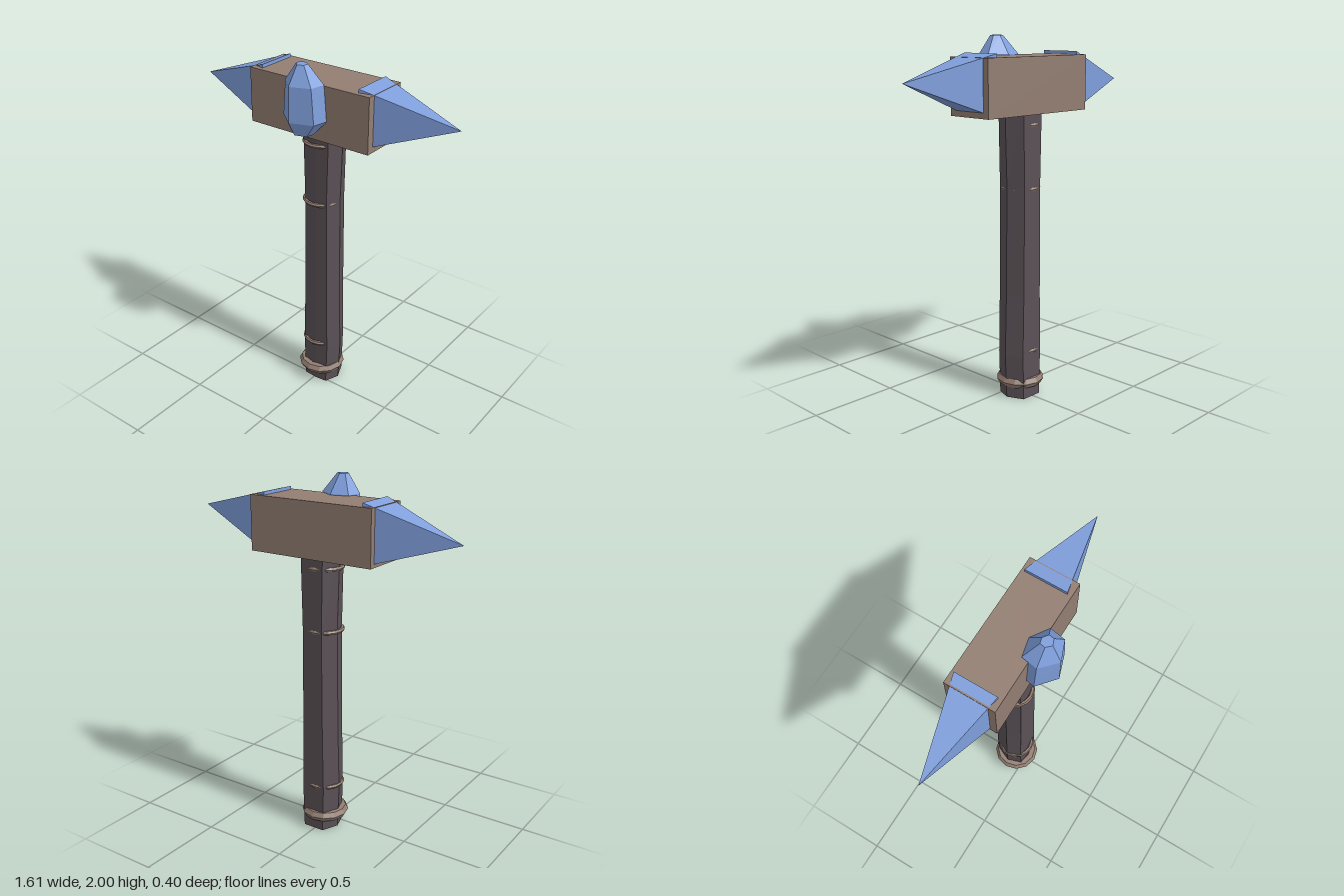
import * as THREE from 'three';

const material = (color) => new THREE.MeshStandardMaterial({ color, flatShading: true });
const wood = material(0x5a5156);
const brown = material(0x937e72);
const blue = material(0x7f9fdc);

// Solid through stacked rings of [x, y, z], listed bottom to top, each counter-clockwise seen from above
function loft(rings) {
  const n = rings[0].length;
  const pos = [];
  const tri = (a, b, c) => pos.push(...a, ...b, ...c);
  for (let r = 0; r < rings.length - 1; r++) {
    const lo = rings[r], hi = rings[r + 1];
    for (let i = 0; i < n; i++) {
      const j = (i + 1) % n;
      tri(lo[i], lo[j], hi[j]);
      tri(lo[i], hi[j], hi[i]);
    }
  }
  const first = rings[0], last = rings[rings.length - 1];
  for (let i = 1; i < n - 1; i++) {
    tri(first[0], first[i + 1], first[i]);
    tri(last[0], last[i], last[i + 1]);
  }
  const g = new THREE.BufferGeometry();
  g.setAttribute('position', new THREE.Float32BufferAttribute(pos, 3));
  g.computeVertexNormals();
  return g;
}

export function createModel() {
  const group = new THREE.Group();
  const add = (name, geometry, mat, x = 0, y = 0, z = 0) => {
    const mesh = new THREE.Mesh(geometry, mat);
    mesh.name = name;
    mesh.position.set(x, y, z);
    group.add(mesh);
    return mesh;
  };

  // Faceted handle: narrower in the middle, flat at the back
  const section = [[0.08, 0.013], [0.115, -0.07], [0.07, -0.163], [-0.07, -0.163],
    [-0.115, -0.07], [-0.085, 0.013], [0, 0.019]];
  const levels = [[0, 0.9], [0.25, 1], [0.6, 0.92], [1.2, 0.87], [1.65, 1]];
  add('handle', loft(levels.map(([y, s]) =>
    section.map(([x, z]) => [x * s + 0.01, y, z]))), wood);

  // Thin bands and the thick collar around the handle
  const ring = (name, y, radius, tube, sides, steps) => {
    const g = new THREE.TorusGeometry(radius, tube, sides, steps).rotateX(Math.PI / 2);
    add(name, g, brown, -0.003, y, -0.062);
  };
  for (const y of [0.27, 1.19, 1.535]) ring('handleBand', y, 0.097, 0.012, 6, 16);
  ring('collar', 0.088, 0.104, 0.03, 6, 12);

  // Head block
  add('head', new THREE.BoxGeometry(0.75, 0.3, 0.276), brown, 0, 1.745, -0.064);

  // Four-sided spikes, each with its tip slightly off centre
  const spike = (name, baseX, tipX, tipY) => {
    const g = new THREE.ConeGeometry(Math.SQRT1_2, 1, 4, 1).rotateY(Math.PI / 4);
    g.translate(0, 0.5, 0).rotateZ(-Math.sign(tipX) * Math.PI / 2);
    g.scale(Math.abs(tipX - baseX), 0.318, 0.235);
    const p = g.attributes.position;
    const length = tipX - baseX;
    for (let i = 0; i < p.count; i++) {
      p.setY(i, p.getY(i) + (tipY - 1.755) * p.getX(i) / length);
    }
    g.computeVertexNormals();
    add(name, g, blue, baseX, 1.755, -0.067);
  };
  spike('leftSpike', 0.296, 0.803, 1.785);
  spike('rightSpike', -0.312, -0.807, 1.742);

  // Six-sided crystal on the front of the head
  const outline = [[-0.02, 0.202], [0.105, 0.158], [0.122, 0.07], [0.015, 0.007],
    [-0.1, 0.03], [-0.118, 0.12]];
  const slice = (y, sx, sz, cz) =>
    outline.map(([x, z]) => [x * sx, y, cz + (z - 0.107) * sz]);
  add('crystal', loft([
    slice(1.635, 0.5, 0.48, 0.122),
    slice(1.71, 1, 1, 0.107),
    slice(1.9, 0.86, 0.97, 0.11),
    slice(2, 0.26, 0.32, 0.118),
  ]), blue);

  return group;
}
